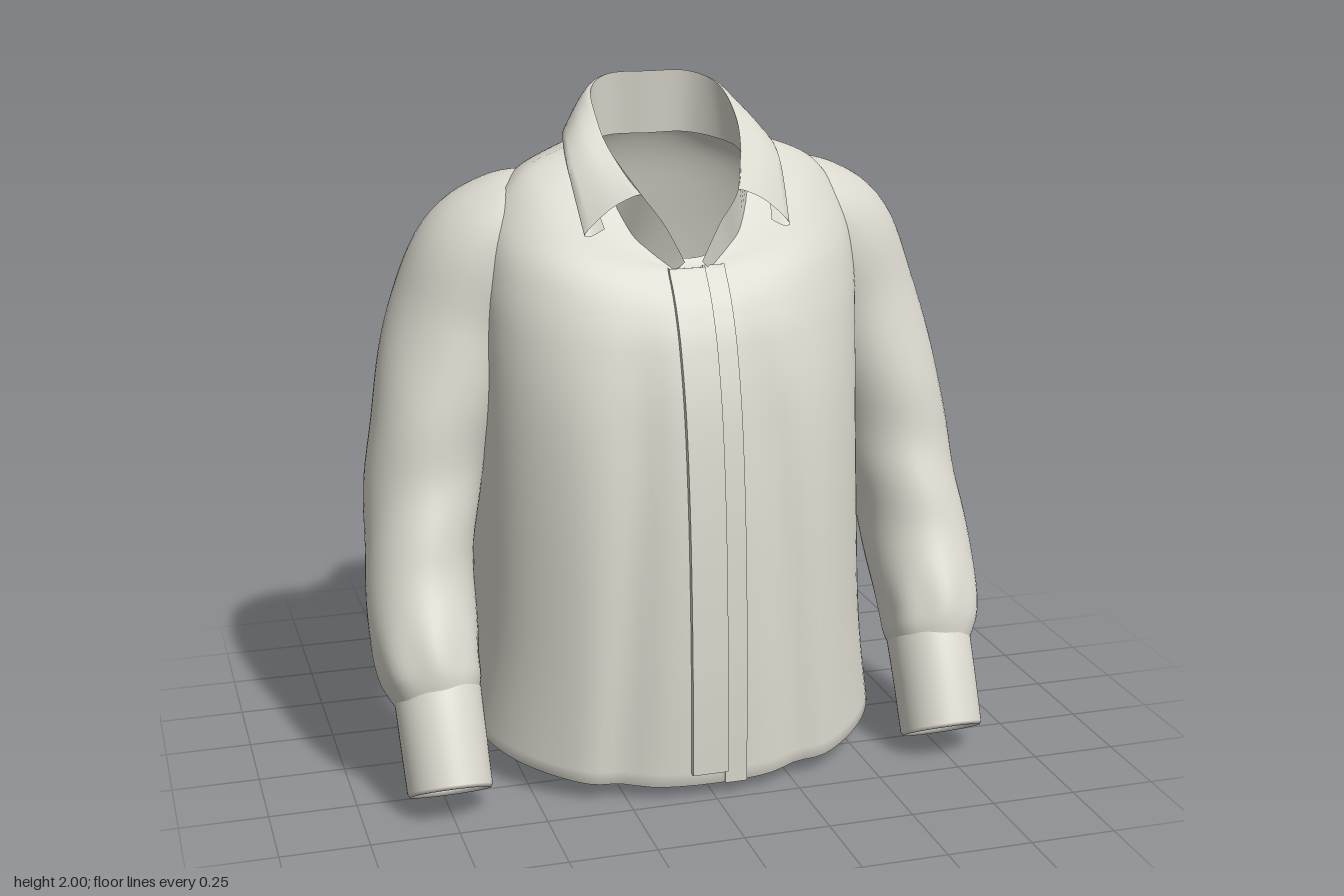
import * as THREE from 'three';
import { toCreasedNormals } from 'three/addons/utils/BufferGeometryUtils.js';

const cloth = new THREE.MeshStandardMaterial({ color: 0xd9d7cc, side: THREE.DoubleSide });
cloth.name = 'off-white cloth';

// Catmull-Rom interpolation through rows of numbers, k steps per gap
function spline(rows, k) {
  const out = [], last = rows.length - 1;
  const at = (i) => rows[Math.max(0, Math.min(last, i))];
  for (let s = 0; s <= last * k; s++) {
    const i = Math.min(Math.floor(s / k), last - 1), t = s / k - i;
    const [a, b, c, d] = [at(i - 1), at(i), at(i + 1), at(i + 2)];
    out.push(b.map((_, j) => 0.5 * (2 * b[j] + (c[j] - a[j]) * t
      + (2 * a[j] - 5 * b[j] + 4 * c[j] - d[j]) * t * t
      + (3 * b[j] - a[j] - 3 * c[j] + d[j]) * t * t * t)));
  }
  return out;
}

// Skin a grid of points; closed joins the last column to the first
function loft(grid, closed) {
  const cols = grid[0].length, index = [];
  for (let i = 0; i < grid.length - 1; i++) {
    for (let j = 0; j < (closed ? cols : cols - 1); j++) {
      const a = i * cols + j, b = i * cols + (j + 1) % cols;
      index.push(a, a + cols, b, b, a + cols, b + cols);
    }
  }
  const g = new THREE.BufferGeometry();
  g.setAttribute('position', new THREE.Float32BufferAttribute(grid.flat(2), 3));
  g.setIndex(index);
  g.computeVertexNormals();
  return g;
}

function part(name, geometry) {
  const m = new THREE.Mesh(geometry, cloth);
  m.name = name;
  return m;
}

const bump = (v, c, r) => Math.exp(-(((v - c) / r) ** 2));
const power = (v, p) => Math.sign(v) * Math.abs(v) ** p;

// Torso rings: half width, front z, back z, front y, side y, back y, back squareness
const torsoRows = spline([
  [0.615, 0.475, -0.49, 0.04, 0.125, 0.09, 3.2],
  [0.58, 0.47, -0.47, 0.4, 0.4, 0.4, 3.2],
  [0.565, 0.445, -0.455, 0.8, 0.8, 0.8, 3.2],
  [0.56, 0.405, -0.435, 1.1, 1.1, 1.1, 3.2],
  [0.56, 0.355, -0.405, 1.29, 1.3, 1.3, 3.2],
  [0.555, 0.312, -0.372, 1.39, 1.47, 1.46, 3],
  [0.525, 0.275, -0.337, 1.45, 1.63, 1.6, 2.8],
  [0.44, 0.242, -0.305, 1.49, 1.755, 1.72, 2.6],
  [0.32, 0.228, -0.272, 1.515, 1.815, 1.8, 2.5],
  [0.222, 0.218, -0.24, 1.53, 1.835, 1.845, 2.6],
], 6);

// Hanging folds down the front and a shallow hollow along the spine
function drape(x, y, side) {
  const fade = THREE.MathUtils.smoothstep(1.5 - y, 0, 0.5);
  const front = -0.025 * bump(Math.abs(x), 0.16 + 0.08 * (1.4 - y), 0.06) + 0.012 * bump(Math.abs(x), 0.36, 0.08);
  const back = 0.016 * bump(x, 0, 0.12) - 0.008 * bump(Math.abs(x), 0.3, 0.1);
  return fade * (side > 0 ? front * side : -back * side);
}

function torsoRing([w, zf, zb, yf, ys, yb, nb]) {
  return Array.from({ length: 96 }, (_, j) => {
    const a = j / 96 * Math.PI * 2, front = j <= 48, n = front ? 2.2 : nb;
    const x = w * power(Math.cos(a), 2 / n), nz = power(Math.sin(a), 2 / n);
    const y = ys + ((front ? yf : yb) - ys) * Math.abs(nz) ** 1.25;
    return [x, y, (front ? zf : -zb) * nz + drape(x, y, nz)];
  });
}

// Raised band that follows the torso front between two x positions
function frontBand(x0, x1, from, to, lift) {
  const grid = torsoRows.slice(from, to).map(([, zf, , yf]) =>
    [[x1, yf, zf + lift], [x0, yf, zf + lift], [x0, yf, zf - 0.03], [x1, yf, zf - 0.03]]);
  for (const end of [0, grid.length - 1]) {
    const c = grid[end].map((p) => [p[0], p[1], p[2] - 0.02]);
    if (end) grid.push(c); else grid.unshift(c);
  }
  return toCreasedNormals(loft(grid, true).toNonIndexed(), 0.6);
}

// Tube from rows of x, y, z, width radius, depth radius
function tube(rows, wrinkle) {
  const grid = rows.map((r, i) => {
    const p = rows[Math.max(0, i - 1)], q = rows[Math.min(rows.length - 1, i + 1)];
    const T = new THREE.Vector3(q[0] - p[0], q[1] - p[1], q[2] - p[2]).normalize();
    const u = new THREE.Vector3(1, 0, 0).addScaledVector(T, -T.x).normalize();
    const v = u.clone().cross(T);
    return Array.from({ length: 48 }, (_, j) => {
      const a = j / 48 * Math.PI * 2, k = 1 + wrinkle(a, r[1]);
      return new THREE.Vector3(r[0], r[1], r[2])
        .addScaledVector(u, Math.cos(a) * r[3] * k)
        .addScaledVector(v, Math.sin(a) * r[4] * k).toArray();
    });
  });
  return loft(grid, true);
}

function makeArm(side) {
  const arm = new THREE.Group();
  arm.name = side > 0 ? 'leftSleeve' : 'rightSleeve';
  const sleeve = spline([
    [0.33, 1.665, -0.075, 0.1, 0.11],
    [0.43, 1.6, -0.09, 0.165, 0.165],
    [0.525, 1.495, -0.107, 0.203, 0.195],
    [0.61, 1.32, -0.118, 0.193, 0.205],
    [0.68, 1.1, -0.09, 0.178, 0.215],
    [0.735, 0.85, -0.035, 0.165, 0.195],
    [0.765, 0.62, 0.055, 0.158, 0.182],
    [0.772, 0.43, 0.17, 0.152, 0.165],
    [0.76, 0.34, 0.22, 0.138, 0.148],
    [0.755, 0.295, 0.247, 0.118, 0.125],
  ], 6);
  // Diagonal elbow folds and gathers above the cuff
  const wrinkle = (a, y) => 0.03 * bump(y, 0.75, 0.25) * Math.sin(2 * a + 16 * y)
    + 0.025 * bump(y, 0.38, 0.07) * Math.sin(7 * a)
    + 0.02 * bump(y, 1.15, 0.2) * Math.sin(3 * a - 9 * y);
  arm.add(part('sleeve', tube(sleeve, wrinkle)));
  const cuff = [
    [0.755, 0.325, 0.228, 0.112, 0.12], [0.755, 0.318, 0.232, 0.125, 0.133],
    [0.753, 0.2, 0.297, 0.123, 0.131], [0.75, 0.073, 0.363, 0.121, 0.131],
    [0.75, 0.064, 0.368, 0.115, 0.126], [0.75, 0.078, 0.36, 0.107, 0.118],
    [0.753, 0.25, 0.27, 0.107, 0.115],
  ];
  // The cuff rows turn back inside, so its frame uses one fixed axis
  const T = new THREE.Vector3(0, -0.87, 0.49), v = new THREE.Vector3(1, 0, 0).cross(T);
  const grid = cuff.map(([x, y, z, ru, rv]) => Array.from({ length: 48 }, (_, j) => {
    const a = j / 48 * Math.PI * 2;
    return [x + Math.cos(a) * ru, y + v.y * Math.sin(a) * rv, z + v.z * Math.sin(a) * rv];
  }));
  arm.add(part('cuff', loft(grid, true)));
  arm.scale.x = side;
  return arm;
}

// Stations run from the back centre to one front end, then are mirrored
function mirrored(half) {
  const flip = half.slice(1).reverse().map((s) => s.map((v, i) => (i % 3 === 0 ? -v : v)));
  return spline([...flip, ...half], 6);
}
const triples = (row) => Array.from({ length: row.length / 3 }, (_, i) => row.slice(i * 3, i * 3 + 3));

function makeCollar() {
  const collar = new THREE.Group();
  collar.name = 'collar';
  const fold = [[0, 2, -0.21], [0.12, 1.997, -0.205], [0.19, 1.965, -0.14], [0.205, 1.9, -0.03],
    [0.193, 1.82, 0.07], [0.14, 1.715, 0.215], [0.08, 1.63, 0.24], [0.025, 1.525, 0.25]];
  const base = [[0, 1.815, -0.23], [0.12, 1.815, -0.222], [0.205, 1.8, -0.13], [0.225, 1.78, -0.02],
    [0.212, 1.715, 0.09], [0.165, 1.605, 0.17], [0.12, 1.545, 0.2], [0.06, 1.49, 0.23]];
  const edge = [[0, 1.84, -0.268], [0.15, 1.84, -0.262], [0.255, 1.843, -0.18], [0.298, 1.84, -0.05],
    [0.312, 1.772, 0.07], [0.298, 1.612, 0.2]];
  // Standing band inside the neck
  collar.add(part('collarStand', loft(mirrored(fold.map((f, i) => [...base[i], ...f])).map(triples), false)));
  // Leaf turned down over the band, with a rolled top and a thick edge
  const leaf = edge.map((e, i) => {
    const f = fold[i], d = [e[0] - f[0], e[1] - f[1], e[2] - f[2]];
    const len = Math.hypot(d[0], d[2]);
    const mix = (t, out, up) => [f[0] + d[0] * t + d[0] / len * out, f[1] + d[1] * t + up, f[2] + d[2] * t + d[2] / len * out];
    return [f, mix(0.08, 0.012, 0.003), mix(0.5, 0.008, 0.014), e, mix(0.97, -0.012, -0.012), mix(0.75, -0.015, -0.015)].flat();
  });
  const grid = mirrored(leaf).map((row) => spline(triples(row), 3));
  collar.add(part('collarLeaf', toCreasedNormals(loft(grid, false).toNonIndexed(), 0.9)));
  return collar;
}

export function createModel() {
  const shirt = new THREE.Group();
  shirt.name = 'shirt';

  // Torso with the hem turned inside
  const hem = torsoRows[0];
  const turned = [0.04, 0.006].map((up, i) => hem.map((v, k) =>
    (k === 0 || k === 1 ? v - 0.018 + i * 0.006 : k === 2 ? v + 0.018 - i * 0.006 : k < 6 ? v + up : v)));
  shirt.add(part('torso', loft([...turned, ...torsoRows].map(torsoRing), true)));

  // Button placket and the layer beneath it
  shirt.add(part('placket', frontBand(-0.07, 0.035, 1, 47, 0.016)));
  shirt.add(part('underPlacket', frontBand(0.03, 0.095, 0, 48, 0.006)));

  shirt.add(makeCollar(), makeArm(1), makeArm(-1));
  return shirt;
}
